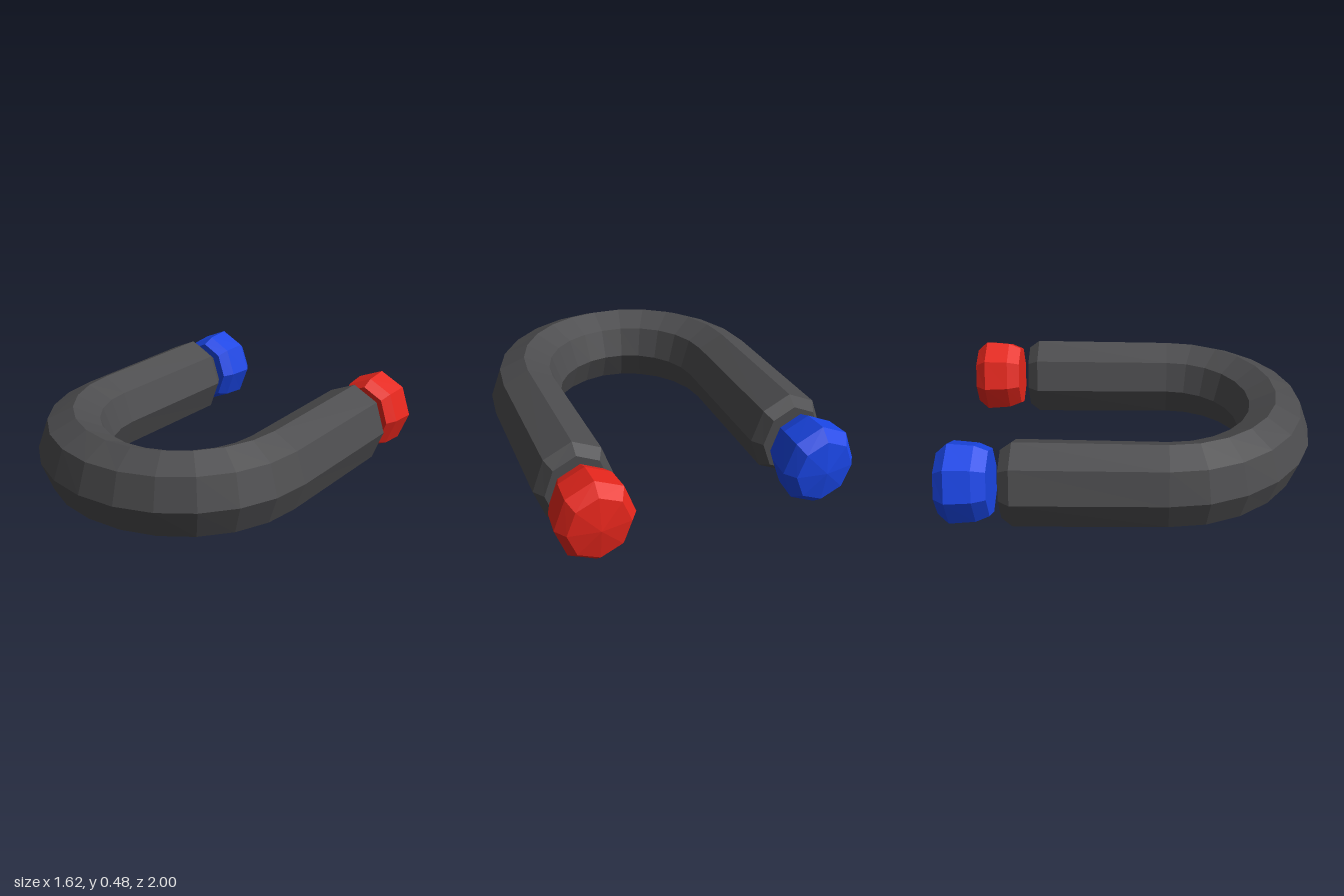
import * as THREE from 'three';

const SIDES = 8;
const CENTRE_Y = 0.242;

// Closed loft through octagonal rings: centre (x, z), outward angle in the ground plane,
// half width w, half height h. capBulge moves the first cap's centre along z.
function loft(rings, capBulge = 0) {
  const pos = [];
  const index = [];
  for (const { x, z, angle = 0, w, h } of rings) {
    for (let j = 0; j < SIDES; j++) {
      const a = (j / SIDES) * Math.PI * 2;
      const out = w * Math.cos(a);
      pos.push(x + out * Math.cos(angle), CENTRE_Y + h * Math.sin(a), z + out * Math.sin(angle));
    }
  }
  const last = (rings.length - 1) * SIDES;
  const startCentre = rings.length * SIDES;
  const end = rings[rings.length - 1];
  pos.push(rings[0].x, CENTRE_Y, rings[0].z + capBulge, end.x, CENTRE_Y, end.z);
  for (let j = 0; j < SIDES; j++) {
    const k = (j + 1) % SIDES;
    for (let r = 0; r < last; r += SIDES) {
      index.push(r + j, r + k, r + SIDES + k, r + j, r + SIDES + k, r + SIDES + j);
    }
    index.push(startCentre, k, j, startCentre + 1, last + j, last + k);
  }
  const geometry = new THREE.BufferGeometry();
  geometry.setAttribute('position', new THREE.Float32BufferAttribute(pos, 3));
  geometry.setIndex(index);
  const flat = geometry.toNonIndexed();
  flat.computeVertexNormals();
  return flat;
}

function part(name, geometry, color) {
  const mesh = new THREE.Mesh(geometry, new THREE.MeshStandardMaterial({ color, flatShading: true }));
  mesh.name = name;
  return mesh;
}

export function createModel() {
  const group = new THREE.Group();
  group.name = 'horseshoeMagnet';

  // U-shaped body: chamfered leg, half-circle bend, chamfered leg
  const leg = [
    { z: -0.65, w: 0.168, h: 0.195 },
    { z: -0.59, w: 0.21, h: 0.241 },
  ];
  const rings = leg.map((r) => ({ ...r, x: 0.6 }));
  const STEPS = 12;
  for (let i = 0; i <= STEPS; i++) {
    const angle = (i / STEPS) * Math.PI;
    const side = Math.abs(Math.cos(angle));
    rings.push({
      x: 0.6 * Math.cos(angle),
      z: 0.2 + 0.6 * Math.sin(angle),
      angle,
      w: 0.2,
      h: 0.225 + 0.01 * side,
    });
  }
  for (const r of [...leg].reverse()) rings.push({ ...r, x: -0.6, angle: Math.PI });
  group.add(part('body', loft(rings), 0x4c4c4e));

  // Floating pole tips with a slightly domed back
  const tip = [
    { z: -0.975, w: 0.16, h: 0.172 },
    { z: -0.915, w: 0.203, h: 0.228 },
    { z: -0.78, w: 0.19, h: 0.218 },
    { z: -0.71, w: 0.162, h: 0.188 },
  ];
  for (const [name, x, color] of [['leftTip', 0.6, 0xe6261c], ['rightTip', -0.6, 0x1a46e6]]) {
    group.add(part(name, loft(tip.map((r) => ({ ...r, x })), -0.025), color));
  }
  return group;
}
